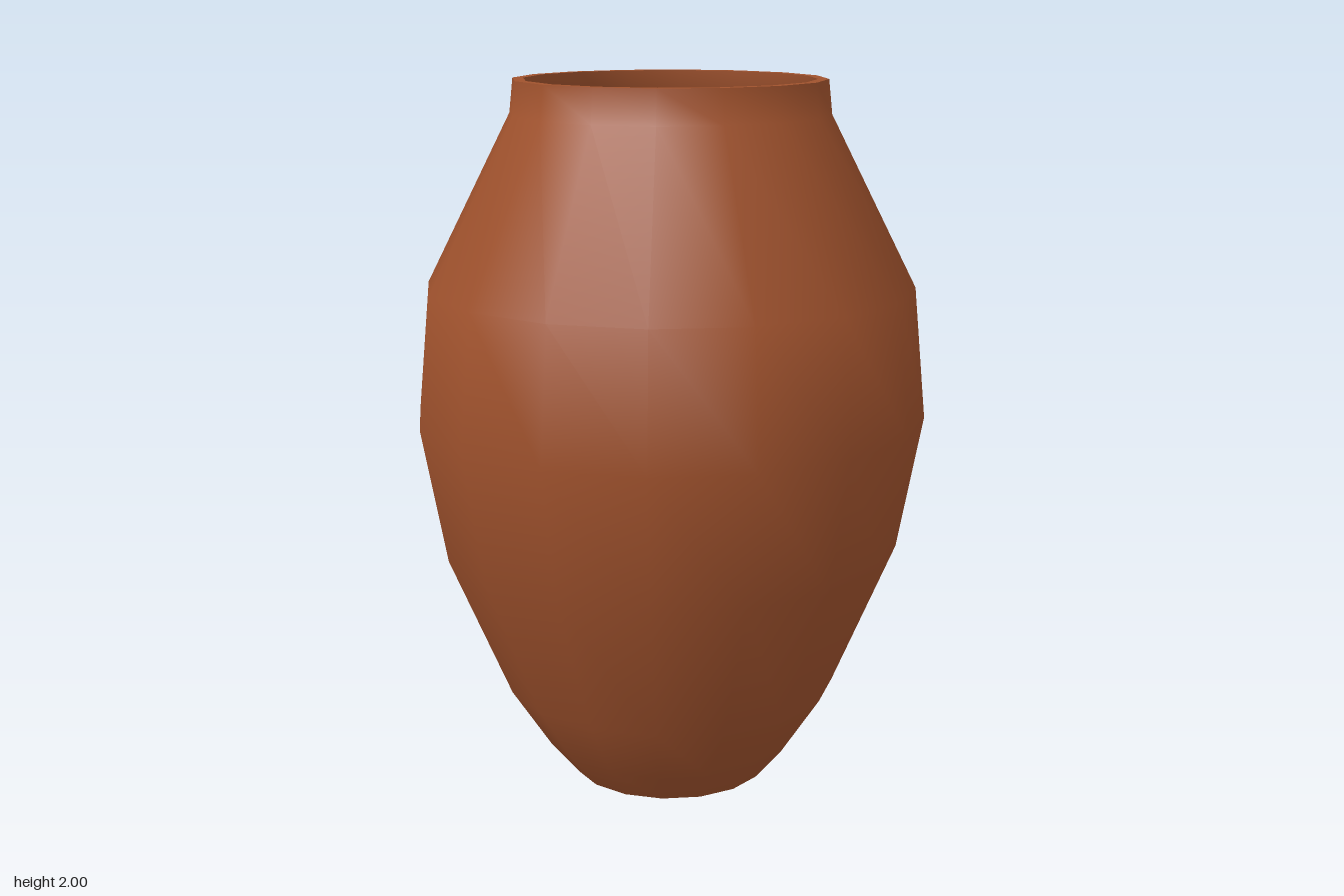
import * as THREE from 'three';

export function createModel() {
  const group = new THREE.Group();
  group.name = 'clayJar';
  const clay = new THREE.MeshStandardMaterial({ color: 0xa0522d });
  clay.name = 'terracotta';

  // Each section is smooth in itself; the joins between sections stay sharp
  const turn = (name, profile) => {
    const points = profile.map(([r, y]) => new THREE.Vector2(r, y));
    const mesh = new THREE.Mesh(new THREE.LatheGeometry(points, 16), clay);
    mesh.name = name;
    group.add(mesh);
  };

  // Outer wall, from foot to mouth
  turn('outerWall', [
    [0.28, 0], [0.36, 0.095], [0.475, 0.27], [0.65, 0.68],
    [0.72, 1.06], [0.685, 1.43], [0.445, 1.905], [0.435, 2],
  ]);
  // Flat lip
  turn('rim', [[0.435, 2], [0.405, 2]]);
  // Inner wall, from mouth to floor
  turn('innerWall', [
    [0.405, 2], [0.415, 1.895], [0.655, 1.42], [0.69, 1.06],
    [0.62, 0.69], [0.445, 0.28], [0.335, 0.11], [0.285, 0.035],
  ]);
  // Floor with a slightly raised middle
  turn('innerFloor', [[0.285, 0.035], [0.195, 0.065], [0, 0.065]]);
  // Hollowed underside
  turn('underside', [[0, 0.035], [0.195, 0.035], [0.28, 0]]);

  return group;
}
